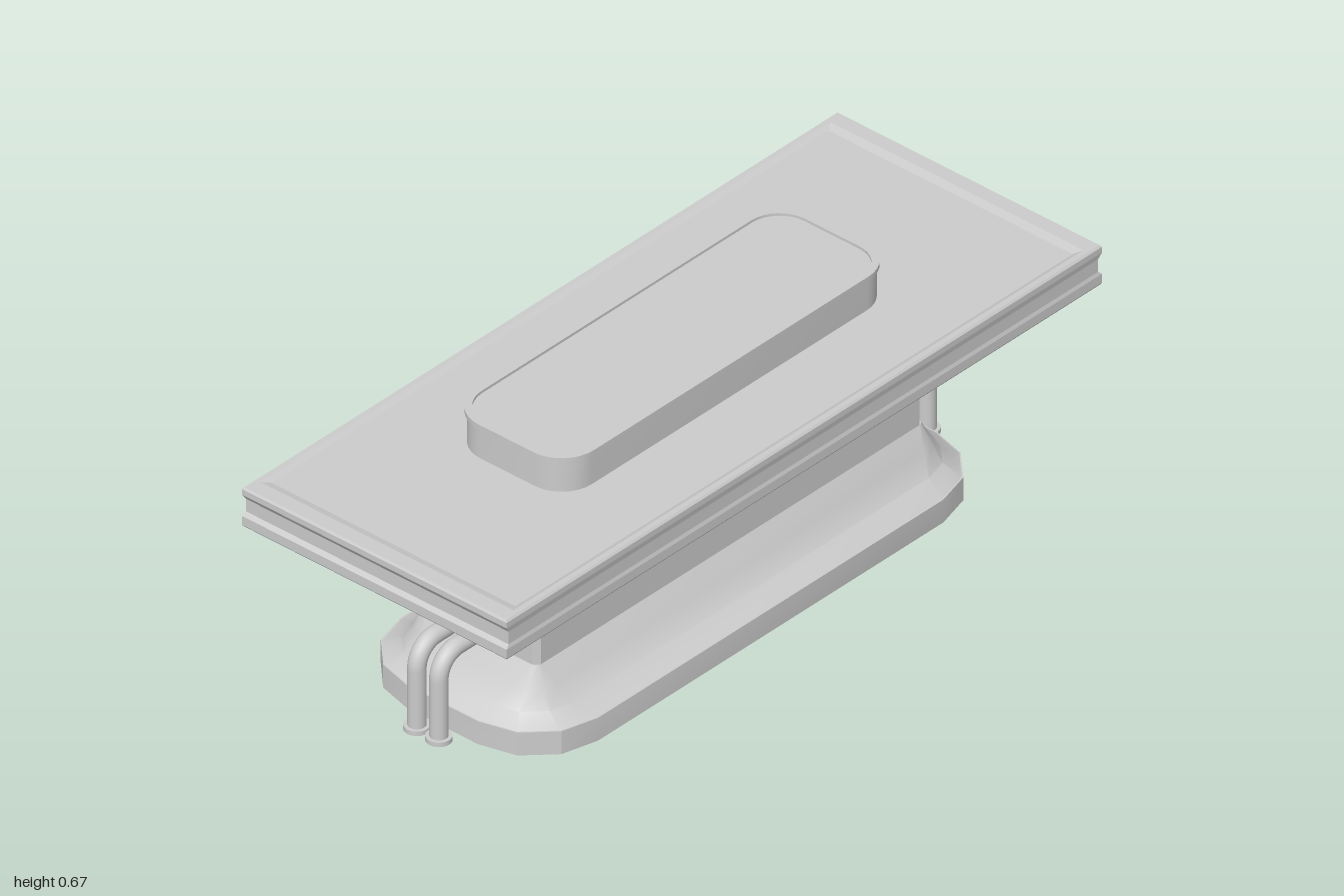
import * as THREE from 'three';
import { toCreasedNormals } from 'three/addons/utils/BufferGeometryUtils.js';

const material = new THREE.MeshStandardMaterial({ color: 0xcccccc });

// Outline of a rectangle with rounded corners, counterclockwise seen from above
function ring([y, hw, hl, r], segments) {
  const points = [];
  for (let corner = 0; corner < 4; corner++) {
    const sx = corner === 0 || corner === 3 ? 1 : -1;
    const sz = corner < 2 ? -1 : 1;
    for (let i = 0; i <= segments; i++) {
      const a = (corner + i / segments) * Math.PI / 2;
      points.push([sx * (hw - r) + r * Math.cos(a), y, sz * (hl - r) - r * Math.sin(a)]);
    }
  }
  return points;
}

// Closed solid through sections [y, halfWidth, halfLength, cornerRadius]
function loft(name, sections, segments = 1, crease = 0.5) {
  const rings = sections.map((s) => ring(s, segments));
  const n = rings[0].length;
  const position = [];
  const tri = (a, b, c) => position.push(...a, ...b, ...c);
  const last = rings.length - 1;
  const bottom = [0, sections[0][0], 0];
  const top = [0, sections[last][0], 0];
  for (let j = 0; j < n; j++) {
    const k = (j + 1) % n;
    for (let i = 0; i < last; i++) {
      tri(rings[i][j], rings[i][k], rings[i + 1][k]);
      tri(rings[i][j], rings[i + 1][k], rings[i + 1][j]);
    }
    tri(bottom, rings[0][k], rings[0][j]);
    tri(top, rings[last][j], rings[last][k]);
  }
  const geometry = new THREE.BufferGeometry();
  geometry.setAttribute('position', new THREE.Float32BufferAttribute(position, 3));
  const mesh = new THREE.Mesh(toCreasedNormals(geometry, crease), material);
  mesh.name = name;
  return mesh;
}

function disc(name, radius, height) {
  const mesh = new THREE.Mesh(new THREE.CylinderGeometry(radius, radius, height, 24), material);
  mesh.name = name;
  return mesh;
}

// Bent pipe from the floor into the end wall of the column
function pipe(x) {
  const group = new THREE.Group();
  group.name = 'pipe';
  const v = (y, z) => new THREE.Vector3(x, y, z);
  const path = new THREE.CurvePath();
  path.add(new THREE.LineCurve3(v(0.01, 0.82), v(0.17, 0.82)));
  path.add(new THREE.CubicBezierCurve3(v(0.17, 0.82), v(0.203, 0.82), v(0.23, 0.793), v(0.23, 0.76)));
  path.add(new THREE.LineCurve3(v(0.23, 0.76), v(0.23, 0.64)));
  const tube = new THREE.Mesh(new THREE.TubeGeometry(path, 48, 0.022, 20), material);
  tube.name = 'pipeTube';
  const foot = disc('pipeFoot', 0.031, 0.012);
  foot.position.set(x, 0.011, 0.82);
  const collar = disc('pipeCollar', 0.029, 0.025);
  collar.rotation.x = Math.PI / 2;
  collar.position.set(x, 0.228, 0.6575);
  group.add(tube, foot, collar);
  return group;
}

export function createModel() {
  const model = new THREE.Group();
  model.name = 'pedestalTable';

  // Foot plate, flared skirt and column
  model.add(loft('footPlate', [[0, 0.297, 0.77, 0.19], [0.062, 0.297, 0.77, 0.19]], 3));
  model.add(loft('skirt', [
    [0.06, 0.297, 0.77, 0.19],
    [0.087, 0.24, 0.725, 0.13],
    [0.135, 0.207, 0.685, 0.07],
    [0.18, 0.175, 0.65, 0.014],
  ], 3, 0.6));
  model.add(loft('column', [[0.178, 0.175, 0.65, 0.014], [0.39, 0.175, 0.65, 0.014]]));

  // Three rounded bellows folds
  const bellows = new THREE.Group();
  bellows.name = 'bellows';
  for (let f = 0; f < 3; f++) {
    const sections = [];
    for (let i = 0; i <= 8; i++) {
      const a = (i / 8 - 0.5) * Math.PI;
      const out = 0.019 * (Math.cos(a) - 1);
      sections.push([0.281 + f * 0.0385 + 0.019 * Math.sin(a), 0.188 + out, 0.71 + out, 0.04 + out]);
    }
    bellows.add(loft('bellowsFold', sections, 6));
  }
  model.add(bellows);

  // Neck with corners that run from chamfered to sharp
  model.add(loft('neck', [
    [0.375, 0.18, 0.65, 0.045],
    [0.405, 0.185, 0.657, 0],
    [0.465, 0.197, 0.673, 0],
    [0.48, 0.245, 0.715, 0],
  ], 1, 0.3));

  // Table slab: grooved edge and slightly sunken top panel
  model.add(loft('tableTop', [
    [0.478, 0.395, 0.996, 0],
    [0.483, 0.398, 1, 0],
    [0.507, 0.398, 1, 0],
    [0.516, 0.395, 0.99, 0],
    [0.55, 0.395, 0.99, 0],
    [0.565, 0.398, 1, 0],
    [0.58, 0.398, 1, 0],
    [0.585, 0.394, 0.996, 0],
    [0.585, 0.38, 0.957, 0],
    [0.579, 0.367, 0.936, 0],
  ], 1, 0.1));

  // Raised block with a rim around a shallow recess
  model.add(loft('raisedBlock', [
    [0.575, 0.172, 0.552, 0.09],
    [0.662, 0.172, 0.552, 0.09],
    [0.662, 0.178, 0.558, 0.096],
    [0.674, 0.178, 0.558, 0.096],
    [0.674, 0.166, 0.537, 0.084],
    [0.667, 0.166, 0.537, 0.084],
  ], 8));

  // A pair of pipes at each end
  for (const turn of [0, Math.PI]) {
    const pair = new THREE.Group();
    pair.name = turn ? 'backPipes' : 'frontPipes';
    pair.add(pipe(-0.033), pipe(0.033));
    pair.rotation.y = turn;
    model.add(pair);
  }
  return model;
}
